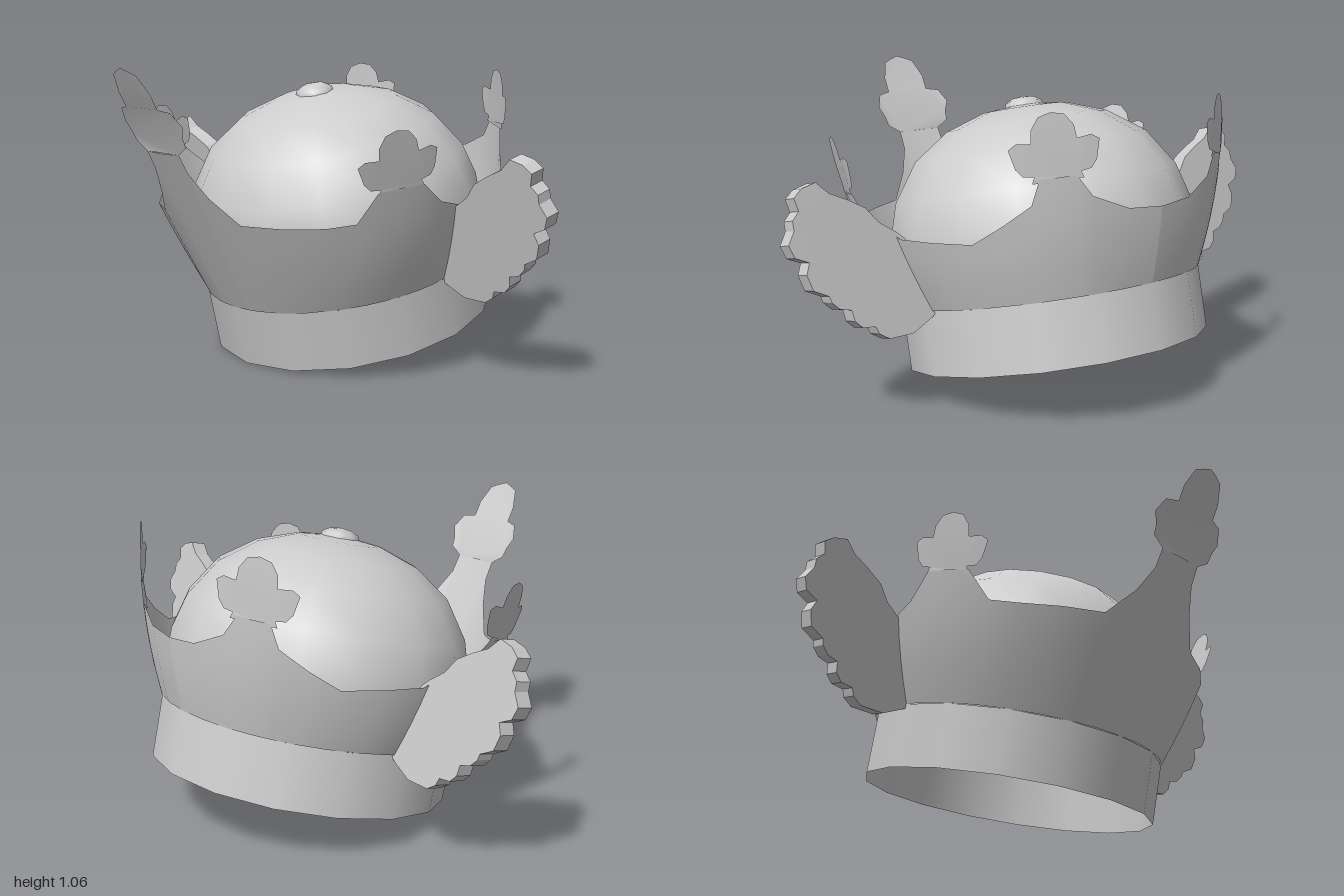
import * as THREE from 'three';

const RAD = Math.PI / 180;
const BAND_TOP = 0.22;

// Radius of the flared wall at an angle from the front (radians) and a height
function wallRadius(angle, h) {
  const t = h - BAND_TOP;
  const w = Math.pow(Math.max(0, Math.cos(angle)), 3);
  const front = 0.265 * t;
  const side = 0.455 * t - 0.313 * t * t;
  return 0.53 + w * front + (1 - w) * side;
}

function wallPoint(angle, h) {
  const r = wallRadius(angle, h);
  return [r * Math.sin(angle), h, r * Math.cos(angle)];
}

// Half of the rim, from the front centre round to the back: [degrees, height]
const RIM = [
  [0, 0.84], [7.5, 0.84], [7.9, 0.773], [12, 0.68], [20, 0.58], [33, 0.565],
  [46, 0.55], [55, 0.548], [62, 0.64], [69, 0.64], [76, 0.63], [82, 0.545],
  [96, 0.47], [108, 0.45], [121, 0.43], [131, 0.475], [140, 0.526],
  [143, 0.6], [148, 0.6], [153, 0.6], [157, 0.53], [168, 0.475], [180, 0.464],
];

function wallGeometry() {
  const columns = [...RIM.slice(1).reverse().map(([a, h]) => [-a, h]), ...RIM];
  const rows = 4;
  const positions = [];
  const index = [];
  columns.forEach(([deg, top]) => {
    for (let j = 0; j <= rows; j++) {
      positions.push(...wallPoint(deg * RAD, BAND_TOP + (top - BAND_TOP) * j / rows));
    }
  });
  for (let i = 0; i < columns.length - 1; i++) {
    for (let j = 0; j < rows; j++) {
      const a = i * (rows + 1) + j;
      const b = a + rows + 1;
      index.push(a, b, b + 1, a, b + 1, a + 1);
    }
  }
  const g = new THREE.BufferGeometry();
  g.setAttribute('position', new THREE.Float32BufferAttribute(positions, 3));
  g.setIndex(index);
  g.computeVertexNormals();
  return g;
}

// Three-lobed finial, half outline as [sideways, height above its foot]
const FRONT_CROSS = [
  [0.09, 0], [0.14, 0.03], [0.145, 0.065], [0.165, 0.105], [0.14, 0.155],
  [0.09, 0.165], [0.09, 0.22], [0.065, 0.285], [0.03, 0.3], [0, 0.31],
];
const SMALL_CROSS = [
  [0.08, -0.01], [0.072, 0.01], [0.105, 0.015], [0.125, 0.04], [0.14, 0.1],
  [0.115, 0.115], [0.07, 0.11], [0.065, 0.15], [0.04, 0.185], [0, 0.195],
];

// Bend a flat finial onto the flared wall
function crossGeometry(half, deg, foot) {
  const outline = [...half, ...half.slice(0, -1).reverse().map(([x, y]) => [-x, y])];
  const g = new THREE.ShapeGeometry(new THREE.Shape(outline.map(([x, y]) => new THREE.Vector2(x, y))));
  const p = g.attributes.position;
  for (let i = 0; i < p.count; i++) {
    const h = foot + p.getY(i);
    const angle = deg * RAD + p.getX(i) / wallRadius(deg * RAD, h);
    p.setXYZ(i, ...wallPoint(angle, h));
  }
  g.computeVertexNormals();
  return g;
}

// Feathered wing outline: [x, y], from the lower root round the tip
const WING = [
  [0.51, 0.335], [0.53, 0.32], [0.61, 0.283], [0.7, 0.283], [0.735, 0.305],
  [0.745, 0.33], [0.79, 0.335], [0.815, 0.36], [0.82, 0.395], [0.86, 0.405],
  [0.885, 0.43], [0.89, 0.45], [0.94, 0.475], [0.955, 0.525], [0.94, 0.56],
  [0.985, 0.58], [1.0, 0.62], [0.975, 0.66], [0.975, 0.69], [0.95, 0.715],
  [0.96, 0.755], [0.93, 0.78], [0.88, 0.793], [0.84, 0.755], [0.78, 0.728],
  [0.72, 0.695], [0.68, 0.645], [0.62, 0.605], [0.59, 0.58],
];

function wingGeometry(side) {
  const shape = new THREE.Shape(WING.map(([x, y]) => new THREE.Vector2(side * x, (y - 0.123) / 0.974)));
  const g = new THREE.ExtrudeGeometry(shape, { depth: 0.06, bevelEnabled: false });
  g.translate(0, 0, -0.045);
  return g;
}

export function createModel() {
  const metal = new THREE.MeshStandardMaterial({ color: 0xcccccc, side: THREE.DoubleSide });
  metal.name = 'light grey';
  const model = new THREE.Group();
  model.name = 'wingedCrown';

  // The whole crown is tipped forward
  const crown = new THREE.Group();
  crown.name = 'crown';
  crown.position.set(0, 0.12, -0.25);
  crown.rotation.x = 13.1 * RAD;
  model.add(crown);

  const add = (name, geometry) => {
    const mesh = new THREE.Mesh(geometry, metal);
    mesh.name = name;
    crown.add(mesh);
    return mesh;
  };

  // Head band and flared wall
  const band = new THREE.CylinderGeometry(0.53, 0.53, BAND_TOP, 16, 1, true);
  band.translate(0, BAND_TOP / 2, 0);
  add('headBand', band);
  add('flaredWall', wallGeometry());

  // Finials
  add('frontFinial', crossGeometry(FRONT_CROSS, 0, 0.84));
  for (const side of [1, -1]) {
    const label = side > 0 ? 'left' : 'right';
    add(label + 'SideFinial', crossGeometry(SMALL_CROSS, side * 69, 0.64));
    add(label + 'BackFinial', crossGeometry(SMALL_CROSS, side * 148, 0.6));
    add(label + 'Wing', wingGeometry(side));
  }

  // Inner cap and its button
  const cap = [[0.525, 0.22], [0.54, 0.35], [0.535, 0.46], [0.5, 0.58], [0.412, 0.71],
    [0.288, 0.797], [0.15, 0.845], [0, 0.862]];
  add('cap', new THREE.LatheGeometry(cap.map(([r, h]) => new THREE.Vector2(r, h)), 16));
  const button = [[0.07, 0.845], [0.065, 0.868], [0.04, 0.882], [0, 0.888]];
  add('capButton', new THREE.LatheGeometry(button.map(([r, h]) => new THREE.Vector2(r, h)), 8));

  return model;
}
